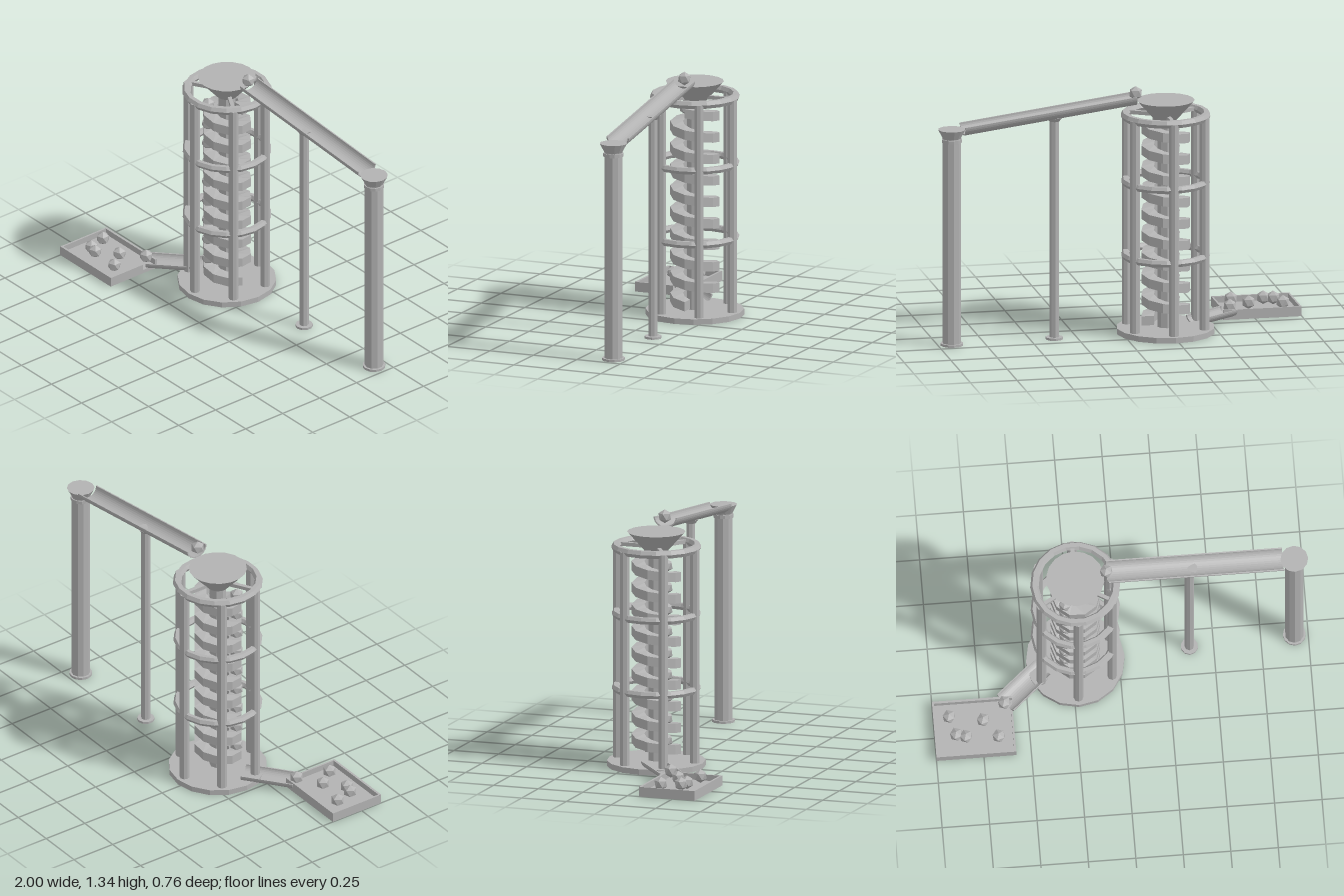
import * as THREE from 'three';

export function createModel() {
  const model = new THREE.Group();
  model.name = 'marbleRun';
  const grey = new THREE.MeshStandardMaterial({ color: 0xb2b2b2, flatShading: true });
  grey.name = 'plain grey';

  const add = (parent, name, geometry, x = 0, y = 0, z = 0) => {
    const mesh = new THREE.Mesh(geometry, grey);
    mesh.name = name;
    mesh.position.set(x, y, z);
    parent.add(mesh);
    return mesh;
  };
  const group = (name, x = 0, z = 0) => {
    const g = new THREE.Group();
    g.name = name;
    g.position.set(x, 0, z);
    model.add(g);
    return g;
  };
  // Upright cylinder or cone between two heights
  const upright = (parent, name, rTop, rBottom, y0, y1, sides, x = 0, z = 0) =>
    add(parent, name, new THREE.CylinderGeometry(rTop, rBottom, y1 - y0, sides), x, (y0 + y1) / 2, z);
  // Marble: an icosahedron standing on one corner
  const marbleGeometry = new THREE.IcosahedronGeometry(0.037, 0);
  marbleGeometry.rotateZ(Math.atan(2 / (1 + Math.sqrt(5))));
  const marble = (parent, x, y, z) => add(parent, 'marble', marbleGeometry, x, y, z);

  // Half-pipe channel running from a to b, given along its open top
  const trough = (name, a, b, r, depth) => {
    const wall = 0.007, shape = new THREE.Shape();
    shape.absellipse(0, 0, r, depth, Math.PI, 2 * Math.PI, false);
    shape.lineTo(r - wall, 0);
    shape.absellipse(0, 0, r - wall, depth - wall, 2 * Math.PI, Math.PI, true);
    const from = new THREE.Vector3(...a), to = new THREE.Vector3(...b);
    const mesh = add(model, name, new THREE.ExtrudeGeometry(shape,
      { depth: from.distanceTo(to), bevelEnabled: false, curveSegments: 8 }), ...a);
    mesh.lookAt(to);
  };

  // Tower frame
  const tower = group('tower', -0.23, -0.125);
  upright(tower, 'base', 0.26, 0.26, 0, 0.03, 16);
  upright(tower, 'centralColumn', 0.044, 0.044, 0.03, 1.17, 8);
  for (let i = 0; i < 6; i++) {
    const a = i * Math.PI / 3;
    upright(tower, 'post', 0.026, 0.026, 0.03, 1.175, 8, 0.215 * Math.sin(a), 0.215 * Math.cos(a));
  }
  for (const [y, tube] of [[0.42, 0.02], [0.818, 0.02], [1.174, 0.0225]]) {
    const ring = new THREE.TorusGeometry(0.215, tube, 6, 18);
    ring.rotateX(Math.PI / 2);
    add(tower, 'ring', ring, 0, y, 0);
  }

  // Funnel and its three struts
  upright(tower, 'funnel', 0.153, 0.055, 1.145, 1.255, 18);
  for (let i = 0; i < 3; i++) {
    const a = Math.PI / 3 + i * 2 * Math.PI / 3;
    const strut = add(tower, 'funnelStrut', new THREE.BoxGeometry(0.02, 0.02, 0.14),
      0.14 * Math.sin(a), 1.175, 0.14 * Math.cos(a));
    strut.rotation.y = a;
  }

  // Spiral ramp: a rectangular section swept down nine turns
  const turns = 9, perTurn = 10, steps = turns * perTurn, drop = 1.04 / turns, top = 1.08;
  const section = [[0.062, 0], [0.13, 0], [0.13, 0.05], [0.062, 0.05]];
  const points = [], faces = [];
  for (let i = 0; i <= steps; i++) {
    const t = i / perTurn, a = t * 2 * Math.PI;
    for (const [r, h] of section) points.push(r * Math.cos(a), top - t * drop + h, -r * Math.sin(a));
    if (i === steps) break;
    for (let k = 0; k < 4; k++) {
      const p = i * 4 + k, q = i * 4 + (k + 1) % 4;
      faces.push(p, p + 4, q, q, p + 4, q + 4);
    }
  }
  const e = steps * 4;
  faces.push(0, 1, 2, 0, 2, 3, e, e + 2, e + 1, e, e + 3, e + 2);
  const spiral = new THREE.BufferGeometry();
  spiral.setAttribute('position', new THREE.Float32BufferAttribute(points, 3));
  spiral.setIndex(faces);
  spiral.computeVertexNormals();
  add(tower, 'spiralRamp', spiral);

  // One marble on each turn
  for (let i = 0; i < turns; i++) marble(tower, -0.06, 1.09 - i * 0.117, 0.078);

  // Upper channel with the marble at its high end
  trough('upperChannel', [-0.06, 1.295, -0.138], [0.87, 1.185, -0.176], 0.064, 0.054);
  marble(model, -0.067, 1.303, -0.138);

  // Slim support under the channel
  const support = group('slimSupport', 0.373, -0.156);
  upright(support, 'foot', 0.046, 0.046, 0, 0.012, 10);
  upright(support, 'shaft', 0.025, 0.025, 0.012, 1.18, 8);
  upright(support, 'cap', 0.042, 0.027, 1.178, 1.198, 10);

  // Thick pillar with a flared head
  const pillar = group('pillar', 0.927, -0.178);
  upright(pillar, 'foot', 0.06, 0.06, 0, 0.013, 12);
  upright(pillar, 'shaft', 0.049, 0.049, 0.013, 1.12, 10);
  upright(pillar, 'collar', 0.054, 0.054, 1.097, 1.115, 12);
  upright(pillar, 'head', 0.073, 0.046, 1.115, 1.167, 12);

  // Lower channel into the tray
  trough('lowerChannel', [-0.4, 0.064, -0.083], [-0.615, 0.056, 0.099], 0.064, 0.047);

  // Tray, with a gap in one wall where the channel enters
  const tray = group('tray', -0.79, 0.22);
  add(tray, 'floor', new THREE.BoxGeometry(0.42, 0.02, 0.312), 0, 0.01, 0);
  for (const s of [-1, 1])
    add(tray, 'longWall', new THREE.BoxGeometry(0.42, 0.053, 0.012), 0, 0.0265, s * 0.15);
  add(tray, 'endWall', new THREE.BoxGeometry(0.01, 0.052, 0.29), -0.205, 0.026, 0);
  add(tray, 'shortWall', new THREE.BoxGeometry(0.01, 0.052, 0.205), 0.205, 0.026, 0.042);

  // Marbles that have rolled out
  for (const [x, z] of [[-0.917, 0.155], [-0.74, 0.187], [-0.887, 0.257], [-0.837, 0.272], [-0.665, 0.283]])
    marble(model, x, 0.06, z);
  marble(model, -0.622, 0.066, 0.102);

  return model;
}
